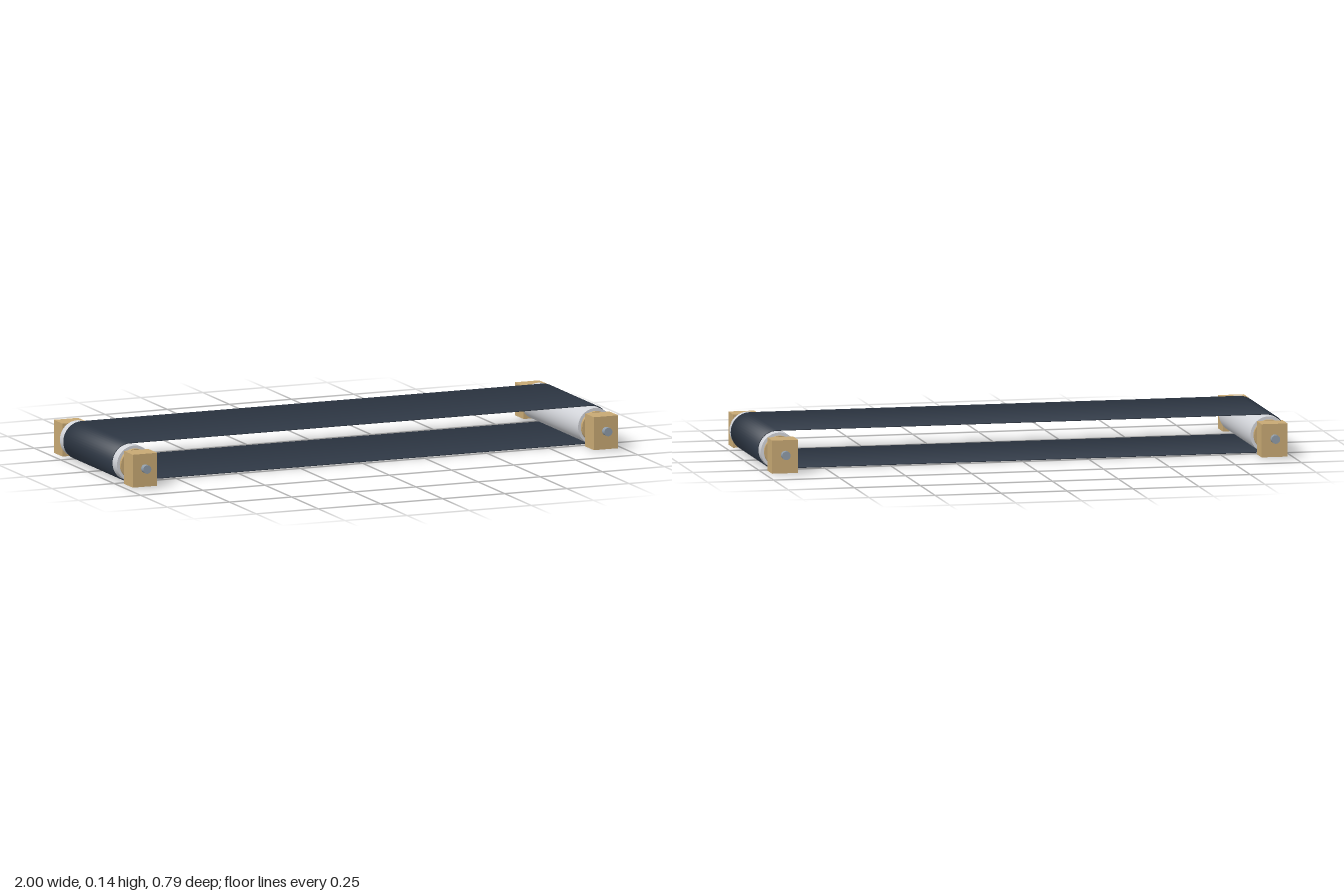
import * as THREE from 'three';

const material = (name, color) => {
  const m = new THREE.MeshStandardMaterial({ color });
  m.name = name;
  return m;
};

const END_X = 0.9275, AXIS_Y = 0.0725;

// Closed belt loop: a thin rectangular section swept round both rollers,
// with soft normals that lean outwards at the edges.
function beltGeometry(halfWidth, outerR, innerR, steps) {
  const pos = [], nor = [], index = [];
  const stations = [];
  for (const side of [1, -1]) {
    for (let i = 0; i <= steps; i++) {
      const a = (i / steps) * Math.PI + (side > 0 ? -Math.PI / 2 : Math.PI / 2);
      stations.push([side * END_X, Math.cos(a), Math.sin(a)]);
    }
  }
  // corners in order: outer front, outer back, inner back, inner front
  const corners = [[outerR, 1, 1], [outerR, -1, 1], [innerR, -1, -1], [innerR, 1, -1]];
  for (const [cx, c, s] of stations) {
    for (const [r, zs, out] of corners) {
      pos.push(cx + c * r, AXIS_Y + s * r, zs * halfWidth);
      nor.push(c * out * Math.SQRT1_2, s * out * Math.SQRT1_2, zs * Math.SQRT1_2);
    }
  }
  const n = stations.length;
  for (let i = 0; i < n; i++) {
    const p = i * 4, q = ((i + 1) % n) * 4;
    for (let k = 0; k < 4; k++) {
      const l = (k + 1) % 4;
      index.push(p + k, q + l, p + l, p + k, q + k, q + l);
    }
  }
  const g = new THREE.BufferGeometry();
  g.setAttribute('position', new THREE.Float32BufferAttribute(pos, 3));
  g.setAttribute('normal', new THREE.Float32BufferAttribute(nor, 3));
  // corner order runs front to back, so flip the winding to face outwards
  for (let i = 0; i < index.length; i += 3) {
    [index[i + 1], index[i + 2]] = [index[i + 2], index[i + 1]];
  }
  g.setIndex(index);
  orientOutwards(g);
  return g;
}

// Make every triangle agree with its vertex normals.
function orientOutwards(g) {
  const p = g.attributes.position, n = g.attributes.normal, idx = g.index;
  const v = (attr, i) => new THREE.Vector3().fromBufferAttribute(attr, i);
  for (let i = 0; i < idx.count; i += 3) {
    const [a, b, c] = [idx.getX(i), idx.getX(i + 1), idx.getX(i + 2)];
    const face = v(p, b).sub(v(p, a)).cross(v(p, c).sub(v(p, a)));
    const mean = v(n, a).add(v(n, b)).add(v(n, c));
    if (face.dot(mean) < 0) {
      idx.setX(i + 1, c);
      idx.setX(i + 2, b);
    }
  }
}

export function createModel() {
  const model = new THREE.Group();
  model.name = 'conveyorBelt';
  const rubber = material('dark rubber', 0x303a48);
  const metal = material('light metal', 0xd3d5da);
  const steel = material('axle steel', 0x8f9ca9);
  const tan = material('tan bearing', 0xc8a974);

  const add = (parent, name, geometry, mat, x, y, z) => {
    const mesh = new THREE.Mesh(geometry, mat);
    mesh.name = name;
    mesh.position.set(x, y, z);
    parent.add(mesh);
  };
  // cylinder lying along z
  const rod = (r, length) =>
    new THREE.CylinderGeometry(r, r, length, 48).rotateX(Math.PI / 2);

  add(model, 'belt', beltGeometry(0.227, 0.0725, 0.069, 24), rubber, 0, 0, 0);

  // roller assembly at each end
  for (const side of [1, -1]) {
    const end = new THREE.Group();
    end.name = side > 0 ? 'leftRollerAssembly' : 'rightRollerAssembly';
    end.position.set(side * END_X, AXIS_Y, 0);
    model.add(end);
    add(end, 'roller', rod(0.0685, 0.536), metal, 0, 0, 0);
    add(end, 'axle', rod(0.016, 0.786), steel, 0, 0, 0);
    for (const z of [1, -1]) {
      add(end, 'hubDisc', rod(0.0575, 0.014), tan, 0, 0, z * 0.274);
      add(end, 'bearingBlock', new THREE.BoxGeometry(0.098, 0.124, 0.082), tan,
        0, 0.066 - AXIS_Y, z * 0.33);
    }
  }
  return model;
}
